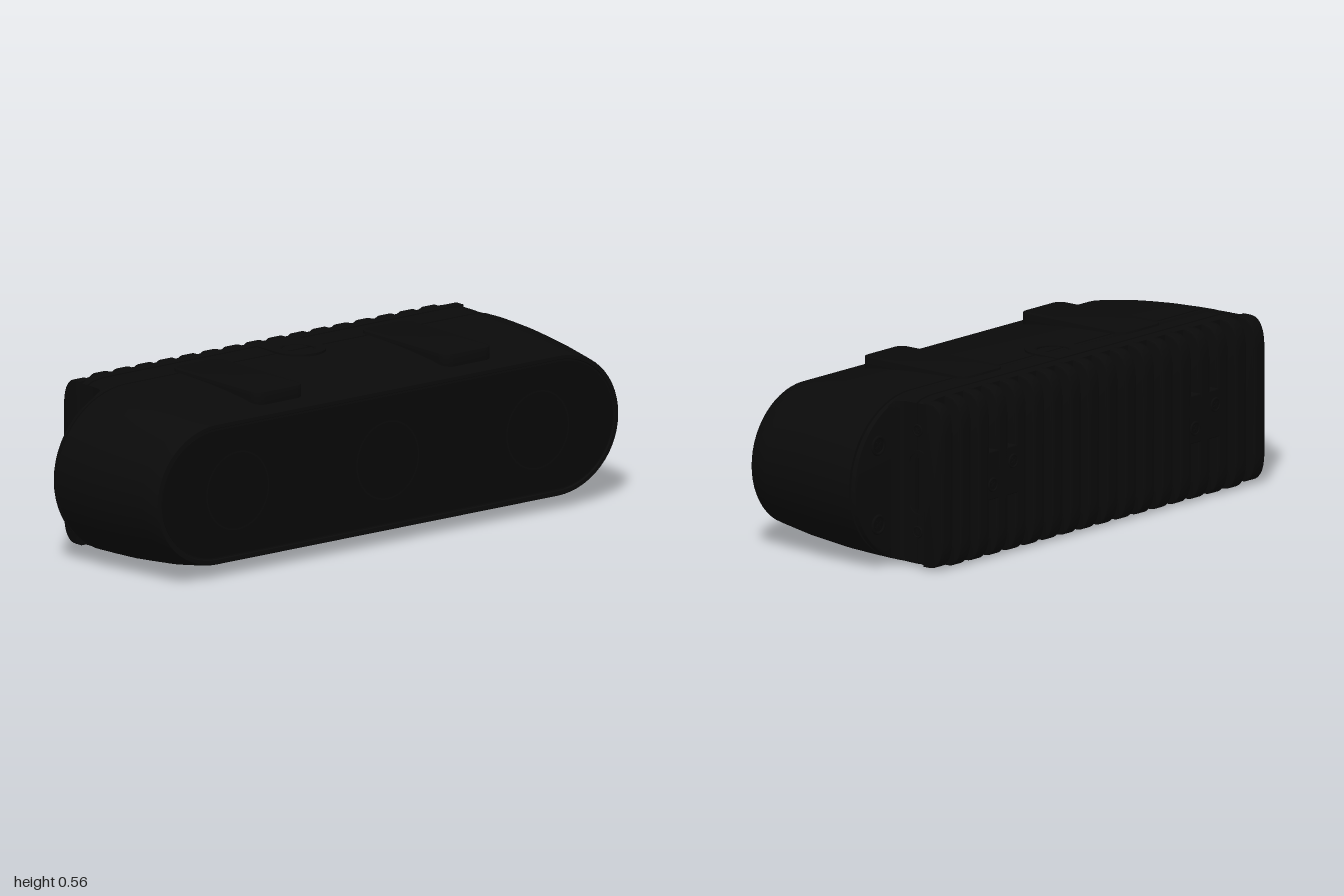
import * as THREE from 'three';
import { toCreasedNormals } from 'three/addons/utils/BufferGeometryUtils.js';

const shell = new THREE.MeshStandardMaterial({ color: 0x0a0a0a });
shell.name = 'black shell';
const glass = new THREE.MeshStandardMaterial({ color: 0x080808 });
glass.name = 'black glass';

const STEPS = 28;

// Stadium outline, counter-clockwise seen from +z, optionally cut flat at x = +-clip
function ring(hw, y0, y1, clip = 9) {
  const r = (y1 - y0) / 2, cy = (y0 + y1) / 2, rx = r * 1.07, pts = [];
  for (const side of [1, -1]) {
    for (let i = 0; i <= STEPS; i++) {
      const a = (i / STEPS - 0.5) * Math.PI;
      const x = side * (hw - rx + rx * Math.cos(a));
      pts.push([THREE.MathUtils.clamp(x, -clip, clip), cy + side * r * Math.sin(a)]);
    }
  }
  return pts;
}

// Skin over sections [z, halfWidth, bottom, top, clip], ordered back to front, with caps
function loft(sections) {
  const pos = [], idx = [], n = 2 * (STEPS + 1), last = sections.length - 1;
  for (const [z, ...s] of sections) for (const [x, y] of ring(...s)) pos.push(x, y, z);
  for (let i = 0; i < last; i++) {
    for (let j = 0; j < n; j++) {
      const k = (j + 1) % n, a = i * n + j, b = i * n + k;
      idx.push(a, b, b + n, a, b + n, a + n);
    }
  }
  for (const i of [0, last]) {
    const [z, , y0, y1] = sections[i], c = pos.length / 3;
    pos.push(0, (y0 + y1) / 2, z);
    for (let j = 0; j < n; j++) {
      const a = i * n + j, b = i * n + (j + 1) % n;
      if (i) idx.push(c, a, b); else idx.push(c, b, a);
    }
  }
  const g = new THREE.BufferGeometry();
  g.setAttribute('position', new THREE.Float32BufferAttribute(pos, 3));
  g.setIndex(idx);
  return toCreasedNormals(g, 0.6);
}

function roundedRect(w, h, r) {
  const s = new THREE.Shape();
  s.absarc(w / 2 - r, h / 2 - r, r, 0, Math.PI / 2);
  s.absarc(-w / 2 + r, h / 2 - r, r, Math.PI / 2, Math.PI);
  s.absarc(-w / 2 + r, -h / 2 + r, r, Math.PI, Math.PI * 1.5);
  s.absarc(w / 2 - r, -h / 2 + r, r, Math.PI * 1.5, Math.PI * 2);
  s.closePath();
  return s;
}

function extrude(shape, depth, bevel = 0) {
  return new THREE.ExtrudeGeometry(shape, {
    depth: depth - bevel, curveSegments: 16, bevelEnabled: bevel > 0,
    bevelSize: bevel, bevelOffset: -bevel, bevelThickness: bevel, bevelSegments: 2,
  });
}

export function createModel() {
  const model = new THREE.Group();
  model.name = 'depthCamera';
  const add = (name, geometry, material = shell, parent = model) => {
    const m = new THREE.Mesh(geometry, material);
    m.name = name;
    parent.add(m);
    return m;
  };

  // Tapered front housing with a seam near the back and a bezel around the front
  add('frontHousing', loft([
    [-0.14, 0.985, 0.015, 0.548], [-0.138, 0.995, 0.008, 0.555], [-0.124, 0.999, 0.006, 0.557],
    [-0.123, 0.988, 0.016, 0.547], [-0.117, 0.988, 0.016, 0.547], [-0.116, 1, 0.007, 0.557],
    [-0.05, 0.998, 0.009, 0.555], [0.04, 0.993, 0.012, 0.551], [0.12, 0.983, 0.018, 0.545],
    [0.2, 0.973, 0.025, 0.537], [0.27, 0.964, 0.037, 0.525], [0.33, 0.956, 0.048, 0.514],
    [0.335, 0.952, 0.052, 0.51], [0.335, 0.94, 0.064, 0.499], [0.33, 0.937, 0.067, 0.496],
  ]));
  add('frontGlass', loft([[0.324, 0.932, 0.072, 0.491], [0.333, 0.932, 0.072, 0.491]]), glass);

  // Lens windows behind the glass line
  for (const x of [-0.62, 0, 0.62]) {
    const g = new THREE.RingGeometry(0.125, 0.13, 40);
    add('lensOutline', g, shell).position.set(x, 0.28, 0.334);
  }

  // Rear heat sink block, flared into the housing, with a thin seam all round
  const C = 0.785;
  add('rearBlock', loft([
    [-0.265, 1, 0.003, 0.56, C], [-0.225, 1, 0.003, 0.56, C], [-0.224, 0.99, 0.013, 0.55, C - 0.008],
    [-0.217, 0.99, 0.013, 0.55, C - 0.008], [-0.216, 1, 0.003, 0.56, C], [-0.17, 1, 0.004, 0.559, C],
    [-0.153, 1, 0.005, 0.558, C + 0.006], [-0.143, 0.999, 0.006, 0.557, C + 0.02],
    [-0.137, 0.998, 0.007, 0.557, C + 0.05], [-0.1, 0.98, 0.02, 0.54, C],
  ]));

  // Vertical cooling fins; each follows the rounded outline of the block
  const pitch = 0.0905, finW = 0.045;
  for (let i = 0; i < 18; i++) {
    const x = (i - 8.5) * pitch, ax = Math.abs(x);
    const t = Math.max(0, (ax - 0.70) / 0.3);
    const h = 0.2785 * Math.sqrt(1 - t * t), cy = 0.2815;
    const s = new THREE.Shape();
    s.moveTo(0.25, cy - h);
    s.lineTo(0.275, cy - h);
    s.bezierCurveTo(0.315, cy - h, 0.335, cy - h + 0.035, 0.335, cy - h + 0.1);
    s.lineTo(0.335, cy + h - 0.1);
    s.bezierCurveTo(0.335, cy + h - 0.035, 0.315, cy + h, 0.275, cy + h);
    s.lineTo(0.25, cy + h);
    const g = extrude(s, finW, 0.006);
    g.translate(0, 0, -finW / 2 + 0.003);
    g.rotateY(Math.PI / 2);
    add('coolingFin', toCreasedNormals(g, 0.6)).position.x = x;
  }

  // Screw: a countersunk rim with a cross recess, facing +z before turning
  const screw = (r, x, y, z, turn) => {
    const s = new THREE.Group();
    s.name = 'screw';
    add('screwRim', new THREE.TorusGeometry(r, r * 0.2, 8, 24), shell, s);
    add('screwHead', new THREE.CircleGeometry(r, 24), glass, s).position.z = 0.001;
    for (const a of [0, Math.PI / 2]) {
      add('screwCross', new THREE.BoxGeometry(r * 1.2, r * 0.25, 0.004), shell, s).rotation.z = a + 0.6;
    }
    s.position.set(x, y, z);
    s.rotation.y = turn;
    model.add(s);
  };

  for (const side of [-1, 1]) {
    // Mounting bosses bridging the fins
    const boss = add('mountingBoss', extrude(roundedRect(0.215, 0.16, 0.04), 0.075, 0.004));
    boss.position.set(side * 0.498, 0.28, -0.331);
    for (const dx of [-0.05, 0.05]) screw(0.02, side * 0.498 + dx, 0.28 - dx * 0.6, -0.336, Math.PI);
    // Screws on the shoulders behind the housing
    for (const y of [0.15, 0.41]) screw(0.028, side * 0.885, y, -0.141, Math.PI);
    // Raised pads on the top
    const pad = extrude(roundedRect(0.2, 0.44, 0.035), 0.06, 0.004);
    pad.rotateX(-Math.PI / 2);
    add('topPad', toCreasedNormals(pad, 0.6)).position.set(side * 0.39, 0.507, 0.052);
  }

  // Connector slot with its two screws on the left end
  const rim = roundedRect(0.09, 0.22, 0.044);
  rim.holes.push(roundedRect(0.07, 0.2, 0.034));
  const slot = add('connectorRim', extrude(rim, 0.004));
  slot.position.set(C, 0.28, -0.225);
  slot.rotation.y = Math.PI / 2;
  add('connectorTongue', new THREE.BoxGeometry(0.006, 0.17, 0.012), glass).position.set(C, 0.28, -0.221);
  for (const y of [0.12, 0.455]) screw(0.017, C + 0.001, y, -0.222, Math.PI / 2);

  // Threaded mount on the top: a U-shaped plate with a round hole
  const plate = new THREE.Shape();
  plate.moveTo(-0.09, 0.22);
  plate.lineTo(-0.09, 0.12);
  plate.absarc(0, 0.12, 0.09, Math.PI, Math.PI * 2);
  plate.lineTo(0.09, 0.22);
  plate.holes.push(new THREE.Path().absarc(0, 0.12, 0.058, 0, Math.PI * 2, true));
  const mount = extrude(plate, 0.014);
  mount.rotateX(-Math.PI / 2);
  add('topMountPlate', mount).position.y = 0.548;
  const thread = add('topMountRing', new THREE.TorusGeometry(0.056, 0.005, 8, 32));
  thread.rotation.x = Math.PI / 2;
  thread.position.set(0, 0.558, -0.12);

  return model;
}
